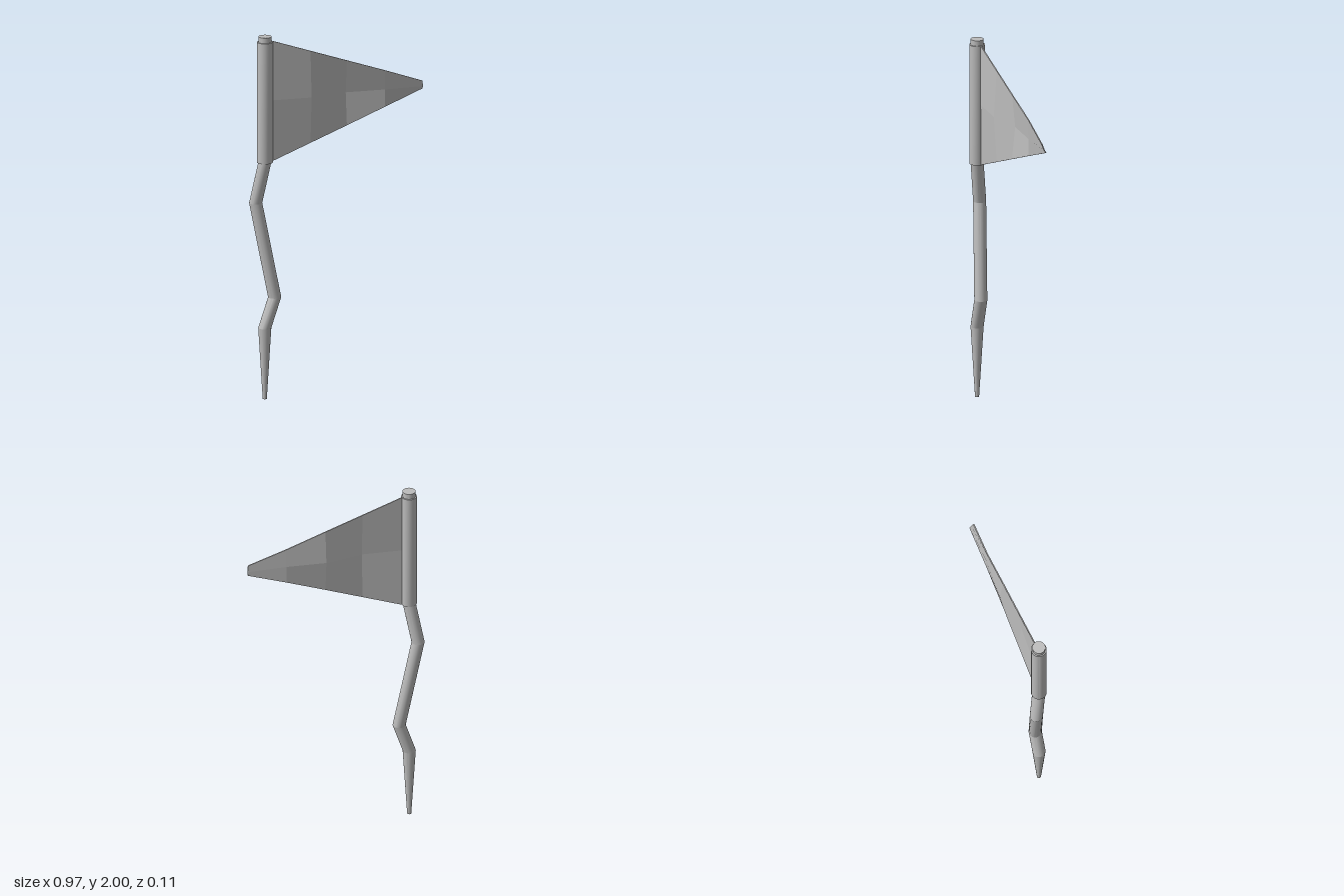
import * as THREE from 'three';
import { toCreasedNormals } from 'three/addons/utils/BufferGeometryUtils.js';

// Pennant: six-sided cross-sections (front, then back) joined along x, one flat normal per panel.
function pennantGeometry() {
  // x, then z of the top, middle and bottom rows; the tip is twisted
  const stations = [
    [-0.39, 0.008, 0.008, 0.008],
    [-0.15, 0.008, 0.0255, 0.008],
    [0.055, 0.008, -0.0105, 0.008],
    [0.27, 0.007, 0.006, 0.005],
    [0.482, 0.018, 0.008, -0.002],
  ];
  const h = 0.003;
  const sections = stations.map(([x, zTop, zMid, zBottom], i) => {
    const t = (x + 0.37) / 0.852;
    const slant = i === stations.length - 1 ? 0.0035 : 0;
    const rows = [
      [x - slant, 1.972 - 0.297 * t, zTop],
      [x + slant / 2, 1.643, zMid],
      [x + slant, 1.305 + 0.322 * t, zBottom],
    ];
    return [...rows.map(([a, b, c]) => new THREE.Vector3(a, b, c + h)),
      ...rows.reverse().map(([a, b, c]) => new THREE.Vector3(a, b, c - h))];
  });

  const positions = [], normals = [];
  const quad = (a, b, c, d) => {
    const n = c.clone().sub(a).cross(d.clone().sub(b)).normalize();
    for (const v of [a, b, c, a, c, d]) {
      positions.push(v.x, v.y, v.z);
      normals.push(n.x, n.y, n.z);
    }
  };
  for (let i = 0; i < sections.length - 1; i++) {
    const p = sections[i], q = sections[i + 1];
    for (let j = 0; j < 6; j++) {
      const k = (j + 1) % 6;
      // Front and back panels share the same diagonal
      if (j < 3) quad(p[j], p[k], q[k], q[j]);
      else quad(p[k], q[k], q[j], p[j]);
    }
  }
  // End caps
  const s = sections[0], e = sections[sections.length - 1];
  for (const [a, b, c, d] of [[0, 1, 4, 5], [1, 2, 3, 4]]) {
    quad(e[a], e[b], e[c], e[d]);
    quad(s[d], s[c], s[b], s[a]);
  }
  const geometry = new THREE.BufferGeometry();
  geometry.setAttribute('position', new THREE.Float32BufferAttribute(positions, 3));
  geometry.setAttribute('normal', new THREE.Float32BufferAttribute(normals, 3));
  return geometry;
}

// Cylinder sheared between two level rings, each [x, y, z, radius].
function shearedCylinder(a, b, open) {
  const height = b[1] - a[1];
  const geometry = new THREE.CylinderGeometry(b[3], a[3], height, 24, 1, open);
  const pos = geometry.attributes.position;
  for (let i = 0; i < pos.count; i++) {
    const t = pos.getY(i) / height + 0.5;
    pos.setXYZ(i,
      pos.getX(i) + a[0] + (b[0] - a[0]) * t,
      a[1] + height * t,
      pos.getZ(i) + a[2] + (b[2] - a[2]) * t);
  }
  return toCreasedNormals(geometry, 0.5);
}

export function createModel() {
  const model = new THREE.Group();
  model.name = 'pennantOnCrookedPole';
  const grey = new THREE.MeshStandardMaterial({ color: 0xbcbcbc });
  grey.name = 'plainGrey';

  const add = (name, geometry, parent = model) => {
    const mesh = new THREE.Mesh(geometry, grey);
    mesh.name = name;
    parent.add(mesh);
  };

  // Crooked pole with a pointed foot
  const pole = new THREE.Group();
  pole.name = 'pole';
  model.add(pole);
  const rings = [
    [-0.409, 0, 0.014, 0.011],
    [-0.409, 0.392, 0.014, 0.035],
    [-0.354, 0.557, 0.016, 0.035],
    [-0.449, 1.077, -0.018, 0.035],
    [-0.408, 1.31, 0.014, 0.035],
    [-0.408, 2, 0.014, 0.035],
  ];
  for (let i = 0; i < rings.length - 1; i++) {
    const open = i > 0 && i < rings.length - 2;
    add('poleSegment' + (i + 1), shearedCylinder(rings[i], rings[i + 1], open), pole);
  }

  // Sleeve holding the pennant
  add('sleeve', shearedCylinder([-0.408, 1.305, 0.014, 0.042], [-0.408, 1.97, 0.014, 0.042], false));

  add('pennant', pennantGeometry());
  return model;
}
